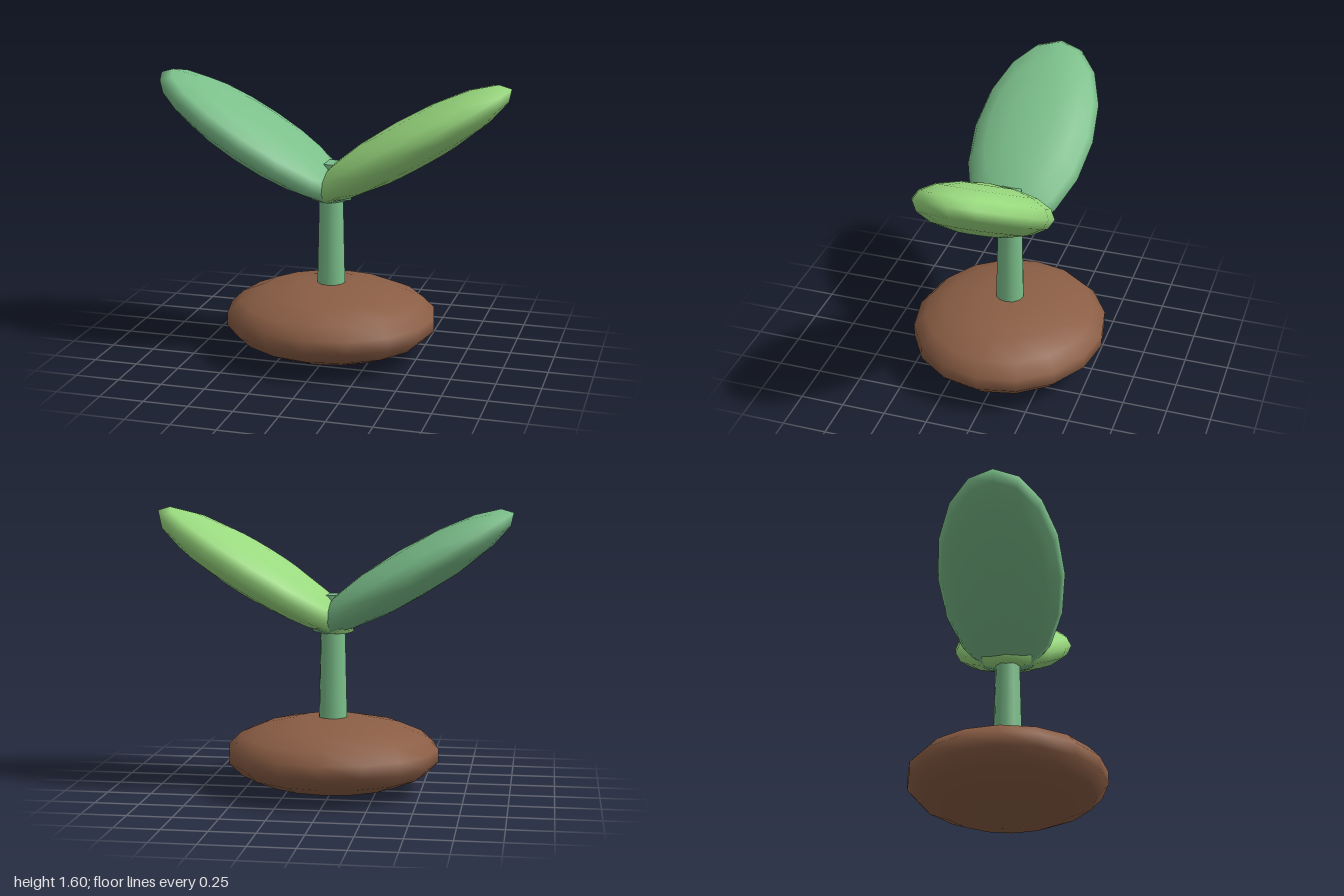
import * as THREE from 'three';

export function createModel() {
  const mat = (name, color) => {
    const m = new THREE.MeshStandardMaterial({ color });
    m.name = name;
    return m;
  };
  const brown = mat('soilBrown', 0x8b5e45);
  const teal = mat('tealGreen', 0x7bbf8a);
  const lime = mat('limeGreen', 0x99d97e);

  const group = new THREE.Group();
  group.name = 'sprout';
  const add = (name, geometry, material, x, y) => {
    const mesh = new THREE.Mesh(geometry, material);
    mesh.name = name;
    mesh.position.set(x, y, 0);
    group.add(mesh);
    return mesh;
  };
  // Smooth, coarsely divided ellipsoid with its poles on y
  const ellipsoid = (rx, ry, rz, rings) =>
    new THREE.SphereGeometry(1, 16, rings).scale(rx, ry, rz);

  // Flattened mound of soil
  add('soilMound', ellipsoid(0.61, 0.214, 0.56, 9), brown, 0, 0.217);

  // Tapered stem, its tip just showing between the leaves
  add('stem', new THREE.CylinderGeometry(0.065, 0.086, 0.92, 12), teal, 0, 0.66);

  // Two tilted leaves that cross at the stem
  for (const [name, side, material] of [['leftLeaf', 1, lime], ['rightLeaf', -1, teal]]) {
    const leaf = add(name, ellipsoid(0.652, 0.14, 0.35, 8), material, side * 0.44, 1.247);
    leaf.rotation.z = side * THREE.MathUtils.degToRad(31);
  }
  return group;
}
